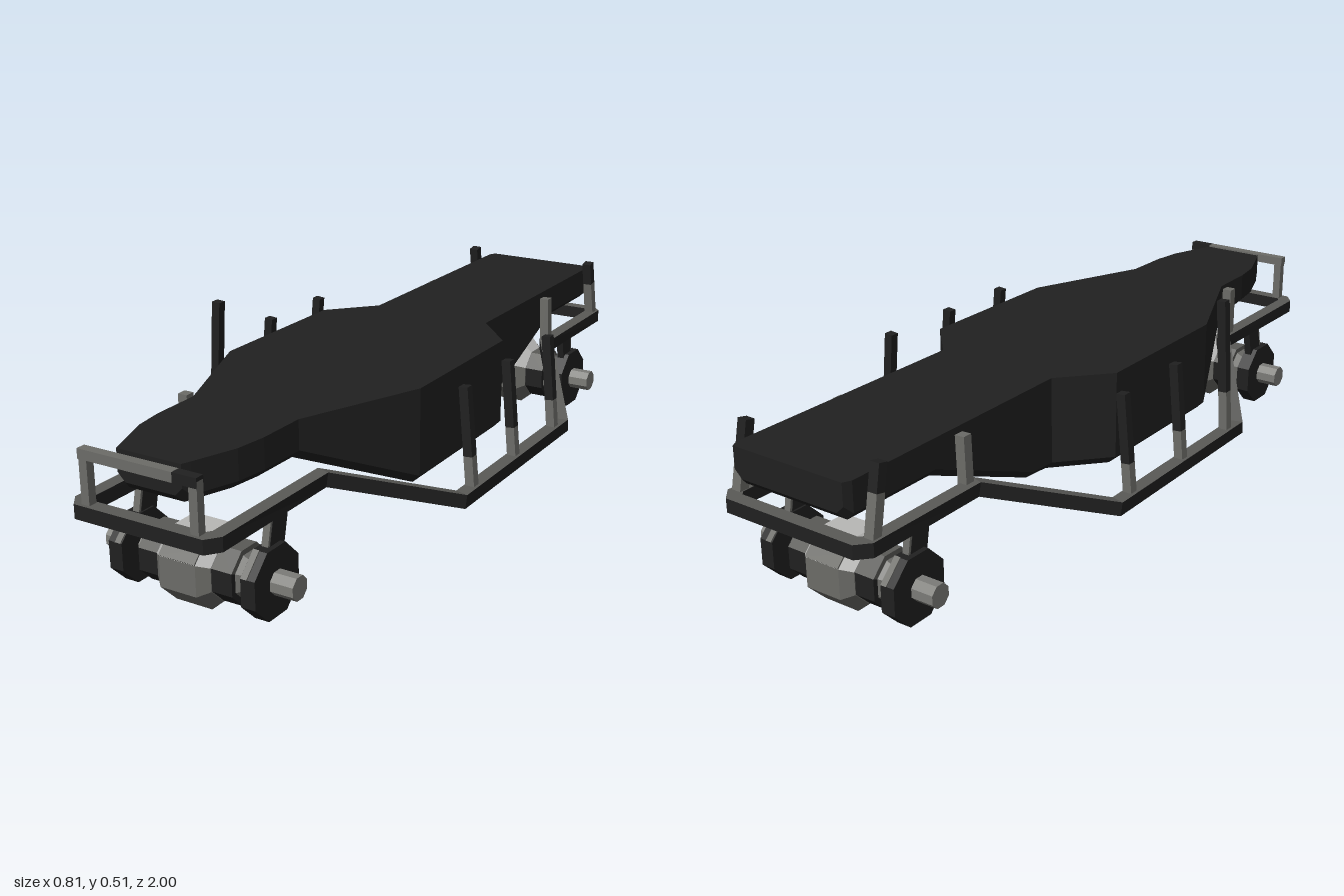
import * as THREE from 'three';

const V = (x, y, z) => new THREE.Vector3(x, y, z);
const mat = (name, color) => {
  const m = new THREE.MeshStandardMaterial({ color, flatShading: true });
  m.name = name;
  return m;
};

// Skins a list of equal-sized rings, each counter-clockwise about the direction of travel
function loft(rings, closed = false) {
  const pos = [];
  const tri = (...ps) => ps.forEach((p) => pos.push(p.x, p.y, p.z));
  const n = rings[0].length;
  const count = closed ? rings.length : rings.length - 1;
  for (let i = 0; i < count; i++) {
    const a = rings[i], b = rings[(i + 1) % rings.length];
    for (let j = 0; j < n; j++) {
      const k = (j + 1) % n;
      tri(a[j], a[k], b[k]);
      tri(a[j], b[k], b[j]);
    }
  }
  if (!closed) {
    const s = rings[0], e = rings[rings.length - 1];
    for (let j = 1; j < n - 1; j++) {
      tri(s[0], s[j + 1], s[j]);
      tri(e[0], e[j], e[j + 1]);
    }
  }
  const g = new THREE.BufferGeometry();
  g.setAttribute('position', new THREE.Float32BufferAttribute(pos, 3));
  g.computeVertexNormals();
  return g;
}

// Closed mitred square bar through a loop of points; its upper faces use material 1
function mitredLoop(points, halfSize) {
  const n = points.length;
  const corners = [[1, 1], [-1, 1], [-1, -1], [1, -1]];
  const g = loft(points.map((p, i) => {
    const before = p.clone().sub(points[(i + n - 1) % n]).normalize();
    const after = points[(i + 1) % n].clone().sub(p).normalize();
    const t = before.clone().add(after).normalize();
    const side = V(0, 1, 0).cross(t).normalize();
    const up = t.clone().cross(side);
    const stretch = 1 / Math.max(0.7, t.dot(after));
    return corners.map(([u, v]) => p.clone()
      .addScaledVector(side, u * halfSize * stretch).addScaledVector(up, v * halfSize));
  }), true);
  for (let q = 0; q < n * 4; q++) g.addGroup(q * 6, 6, q % 4 === 0 ? 1 : 0);
  return g;
}

export function createModel() {
  const model = new THREE.Group();
  model.name = 'chassis';
  const black = mat('black', 0x202020);
  const railGrey = mat('railGrey', 0x5a5a57);
  const postGrey = mat('postGrey', 0x6c6c68);
  const shaftGrey = mat('shaftGrey', 0x7c7c78);
  const lightGrey = mat('lightGrey', 0xb8b8b6);

  const add = (parent, name, geometry, material) => {
    const m = new THREE.Mesh(geometry, material);
    m.name = name;
    parent.add(m);
    return m;
  };
  const rod = (name, a, b, r, material) => {
    const d = b.clone().sub(a);
    const m = add(model, name, new THREE.BoxGeometry(2 * r, d.length(), 2 * r), material);
    m.position.copy(a).add(b).multiplyScalar(0.5);
    m.quaternion.setFromUnitVectors(V(0, 1, 0), d.normalize());
  };
  // Post whose upper end is black
  const tippedPost = (name, a, b, tipY, r) => {
    const mid = a.clone().lerp(b, (tipY - a.y) / (b.y - a.y));
    rod(name, a, mid, r, postGrey);
    rod(name + 'Tip', mid, b, r, black);
  };

  // Hull: [z, half width, bottom height]
  const stations = [
    [-0.99, 0.16, 0.33], [-0.97, 0.17, 0.31], [-0.71, 0.17, 0.31], [-0.35, 0.17, 0.165],
    [-0.27, 0.17, 0.16], [-0.15, 0.28, 0.16], [0.29, 0.28, 0.16], [0.61, 0.148, 0.31],
    [0.74, 0.146, 0.31], [0.82, 0.135, 0.31], [0.93, 0.095, 0.31], [0.95, 0.087, 0.33],
  ];
  const top = 0.405, c = 0.02;
  add(model, 'hull', loft(stations.map(([z, w, b]) => [
    V(w, top, z), V(-w, top, z), V(-w, b + c, z), V(-w + c, b, z), V(w - c, b, z), V(w, b + c, z),
  ])), black);

  // Perimeter rail
  const half = [
    [0.165, 0.257, 0.982], [0.182, 0.257, 0.96], [0.182, 0.257, 0.57], [0.388, 0.138, 0.28],
    [0.388, 0.138, -0.31], [0.2, 0.257, -0.61], [0.2, 0.257, -0.96], [0.18, 0.257, -0.982],
  ];
  const loop = [
    ...half.map((p) => V(...p)),
    ...half.slice().reverse().map(([x, y, z]) => V(-x, y, z)),
  ];
  add(model, 'perimeterRail', mitredLoop(loop, 0.0175), [black, railGrey]);

  // Front hoop
  for (const s of [-1, 1]) {
    rod('hoopPost', V(s * 0.147, 0.26, 0.98), V(s * 0.147, 0.395, 0.98), 0.011, postGrey);
  }
  rod('hoopBar', V(-0.16, 0.392, 0.98), V(0.095, 0.392, 0.98), 0.012, postGrey);
  rod('hoopBarEnd', V(0.095, 0.392, 0.98), V(0.158, 0.392, 0.98), 0.012, black);

  // Side and rear posts
  for (const s of [-1, 1]) {
    for (const z of [0.22, -0.01, -0.25]) {
      const tall = s < 0 && z > 0.1;
      tippedPost('sidePost', V(s * 0.388, 0.14, z),
        V(s * (tall ? 0.365 : 0.363), tall ? 0.508 : 0.405, z), tall ? 0.26 : 0.23, 0.012);
    }
    rod('hipPost', V(s * 0.19, 0.26, -0.63), V(s * 0.185, 0.39, -0.63), 0.013, postGrey);
    tippedPost('rearPost', V(s * 0.198, 0.26, -0.95), V(s * 0.195, 0.435, -0.915), 0.37, 0.013);
  }
  rod('nosePost', V(-0.178, 0.26, 0.6), V(-0.178, 0.405, 0.6), 0.013, postGrey);

  // Axles: octagonal parts turned about x, or sectors of them
  const e = Math.PI / 8;
  const barrel = (parent, name, x, r0, r1, length, material, start = e, sweep = Math.PI * 2) => {
    const segments = Math.round((sweep / (Math.PI * 2)) * 8);
    const g = new THREE.CylinderGeometry(r1, r0, length, segments, 1, false, start, sweep);
    g.rotateZ(-Math.PI / 2);
    const m = add(parent, name, g, material);
    m.position.x = x;
  };
  const profile = [[0, -0.075], [0.075, -0.075], [0.1, -0.05], [0.1, 0.05], [0.075, 0.075], [0, 0.075]]
    .map((p) => new THREE.Vector2(...p));
  const casing = (parent, name, start, sides, material) => {
    const g = new THREE.LatheGeometry(profile, sides, start, sides * 2 * e);
    g.rotateZ(-Math.PI / 2);
    add(parent, name, g, material);
  };
  for (const [z, lean] of [[0.785, -0.025], [-0.815, 0.02]]) {
    const axle = new THREE.Group();
    axle.name = z > 0 ? 'frontAxle' : 'rearAxle';
    axle.position.set(0, 0.093, z);
    model.add(axle);
    const out = Math.sign(z);
    // Light upper casing, grey lower casing and a cover lapping over the outer slope
    casing(axle, 'casingTop', 9 * e, 3, lightGrey);
    casing(axle, 'casingBottom', -e, 5, postGrey);
    const cover = add(axle, 'casingCover', new THREE.BoxGeometry(0.1, 0.036, 0.008), postGrey);
    cover.position.set(0, 0.051, out * 0.079);
    cover.rotation.x = -out * Math.PI / 4;
    for (const s of [-1, 1]) {
      // Collar with a grey upper part and black lower part
      barrel(axle, 'collarTop', s * 0.102, 0.073, 0.073, 0.056, railGrey, 9 * e, 6 * e);
      barrel(axle, 'collarBottom', s * 0.102, 0.073, 0.073, 0.056, black, -e, 10 * e);
      barrel(axle, 'taper', s * 0.14, s > 0 ? 0.06 : 0.045, s > 0 ? 0.045 : 0.06, 0.022, postGrey);
      barrel(axle, 'shaft', s * 0.2, 0.03, 0.03, 0.125, shaftGrey);
      barrel(axle, 'brakeDisc', s * 0.184, 0.09, 0.09, 0.038, black);
      // Grey strip on the upper outer rim of the disc
      barrel(axle, 'rimStrip', s * 0.175, 0.093, 0.093, 0.016, postGrey, out > 0 ? -3 * e : 9 * e, 2 * e);
      // Strut up to the rail with a grey face on its outer end
      const strut = add(axle, 'strut', new THREE.BoxGeometry(0.02, 0.14, 0.055), black);
      strut.position.set(s * 0.18, 0.09, lean);
      strut.rotation.x = lean * 9;
      const plate = add(strut, 'strutPlate', new THREE.BoxGeometry(0.018, 0.13, 0.008), postGrey);
      plate.position.z = out * 0.03;
    }
  }
  return model;
}
